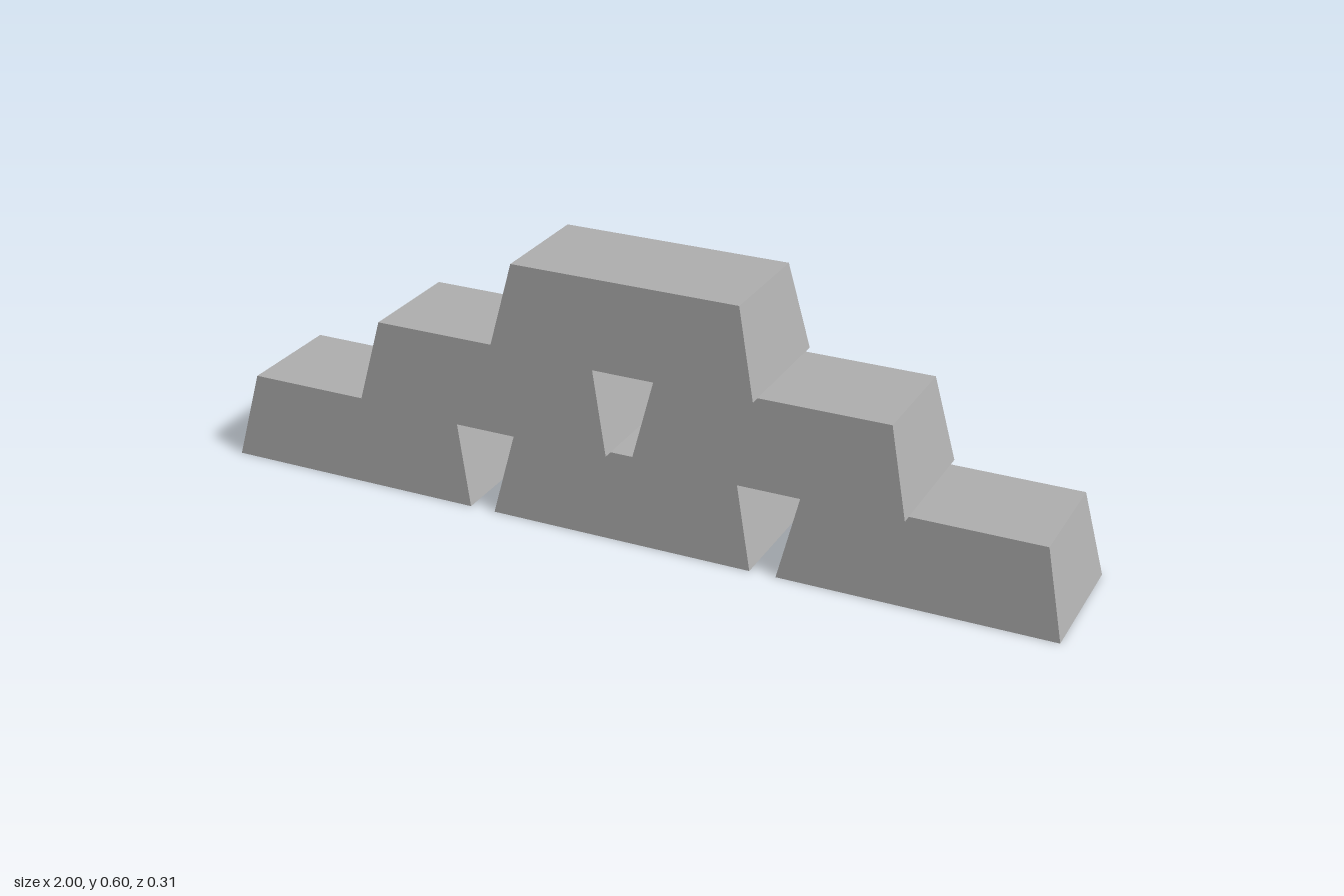
import * as THREE from 'three';

const HEIGHT = 0.2;
const BOTTOM = { x: 0.313, z: 0.157 }; // half sizes of the base
const TOP = { x: 0.268, z: 0.133 }; // half sizes of the upper face
const SPACING = 0.687;

// A box whose upper corners are drawn inward on all four sides
function taperedBar() {
  const geometry = new THREE.BoxGeometry(2, HEIGHT, 2);
  geometry.translate(0, HEIGHT / 2, 0);
  const p = geometry.attributes.position;
  for (let i = 0; i < p.count; i++) {
    const half = p.getY(i) > HEIGHT / 2 ? TOP : BOTTOM;
    p.setX(i, p.getX(i) * half.x);
    p.setZ(i, p.getZ(i) * half.z);
  }
  geometry.computeVertexNormals();
  return geometry;
}

export function createModel() {
  const model = new THREE.Group();
  model.name = 'barStack';
  const metal = new THREE.MeshStandardMaterial({ color: 0xb0b0b0 });
  metal.name = 'grey metal';
  const geometry = taperedBar();

  // Rows of three, two and one bar, each centred over the row below
  ['bottom', 'middle', 'top'].forEach((rowName, row) => {
    const count = 3 - row;
    const group = new THREE.Group();
    group.name = `${rowName}Row`;
    group.position.y = row * HEIGHT;
    for (let i = 0; i < count; i++) {
      const bar = new THREE.Mesh(geometry, metal);
      bar.name = `${rowName}Bar${i + 1}`;
      bar.position.x = (i - (count - 1) / 2) * SPACING;
      group.add(bar);
    }
    model.add(group);
  });
  return model;
}
